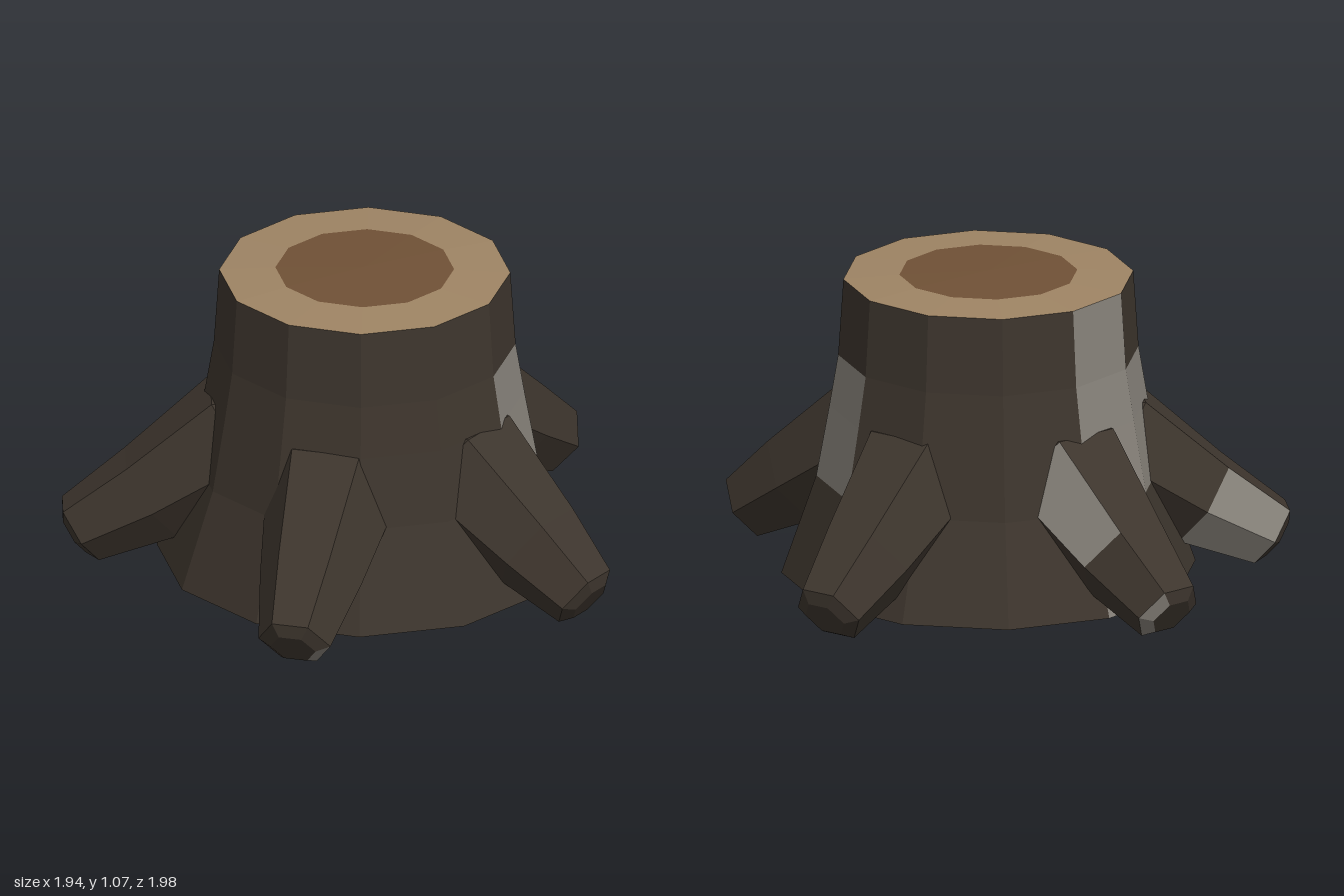
import * as THREE from 'three';

const paint = (name, color) => {
  const m = new THREE.MeshStandardMaterial({ color, flatShading: true, side: THREE.DoubleSide });
  m.name = name;
  return m;
};

// Skin a list of equal rings; pick(row, face) chooses the material slot
function loft(rings, slots, pick) {
  const lists = Array.from({ length: slots }, () => []);
  for (let i = 0; i < rings.length - 1; i++) {
    const n = rings[i].length;
    for (let k = 0; k < n; k++) {
      const j = (k + 1) % n;
      const a = rings[i][k], b = rings[i][j], c = rings[i + 1][j], d = rings[i + 1][k];
      lists[pick(i, k)].push(...a, ...d, ...c, ...a, ...c, ...b);
    }
  }
  const geo = new THREE.BufferGeometry();
  geo.setAttribute('position', new THREE.Float32BufferAttribute(lists.flat(), 3));
  let start = 0;
  lists.forEach((l, s) => {
    geo.addGroup(start, l.length / 3, s);
    start += l.length / 3;
  });
  geo.computeVertexNormals();
  return geo;
}

// Twelve-sided horizontal ring
const trunkRing = ([y, r]) => Array.from({ length: 12 }, (_, k) => {
  const t = k * Math.PI / 6;
  return [r * Math.cos(t), y, r * Math.sin(t)];
});

// Six-sided ring across a root that slopes down and outwards, flat side up
const rootRing = ([x, y, r]) => Array.from({ length: 6 }, (_, k) => {
  const t = k * Math.PI / 3, up = r * Math.sin(t);
  return [x + 0.56 * up, y + 0.83 * up, r * Math.cos(t)];
});

export function createModel() {
  const bark = paint('dark bark', 0x3d352d);
  const grey = paint('bare grey wood', 0x87827a);
  const cut = paint('cut wood', 0x9e8464);
  const heart = paint('heartwood', 0x705136);

  const model = new THREE.Group();
  model.name = 'treeStump';
  const stump = new THREE.Group();
  stump.name = 'stump';
  stump.position.x = -0.04;
  model.add(stump);

  // Flared trunk, open underneath, with bare patches on both sides
  const trunkRows = [[0.025, 0.71], [0.37, 0.59], [0.62, 0.545], [0.8, 0.515], [1.07, 0.497]];
  const trunk = new THREE.Mesh(loft(trunkRows.map(trunkRing), 2, (row, k) => {
    const middle = row === 1 || row === 2;
    return k === 6 || (middle && [5, 10, 11].includes(k)) ? 1 : 0;
  }), [bark, grey]);
  trunk.name = 'trunk';
  stump.add(trunk);

  // Slightly domed sawn top
  const topRows = [[1.07, 0.497], [1.08, 0.305], [1.086, 0]];
  const top = new THREE.Mesh(loft(topRows.map(trunkRing), 2, row => row), [cut, heart]);
  top.name = 'sawnTop';
  stump.add(top);

  // Roots: direction x, z, reach of the tip, bare faces as 'row,face'
  const roots = [
    ['backRoot', 0.18, -0.94, 0.945, []],
    ['leftRoot', 0.94, 0.08, 0.93, []],
    ['frontRoot', 0.28, 0.93, 0.945, ['4,3']],
    ['frontRightRoot', -0.84, 0.54, 0.97, ['3,0', '3,5']],
    ['backRightRoot', -0.88, -0.43, 0.96, ['2,0', '4,0', '4,5']],
  ];
  for (const [name, x, z, reach, bare] of roots) {
    // Buried inner end, thick base, middle, blunt bevelled tip
    const rows = [
      [0.14, 0.5, 0], [0.14, 0.5, 0.13], [0.41, 0.455, 0.238], [0.73, 0.24, 0.178],
      [reach, 0.105, 0.127], [reach + 0.022, 0.09, 0.08], [reach + 0.022, 0.09, 0],
    ];
    const geo = loft(rows.map(rootRing), 2,
      (row, k) => bare.includes(`${row},${k}`) ? 1 : 0);
    const root = new THREE.Mesh(geo, [bark, grey]);
    root.name = name;
    root.rotation.y = -Math.atan2(z, x);
    stump.add(root);
  }
  return model;
}
